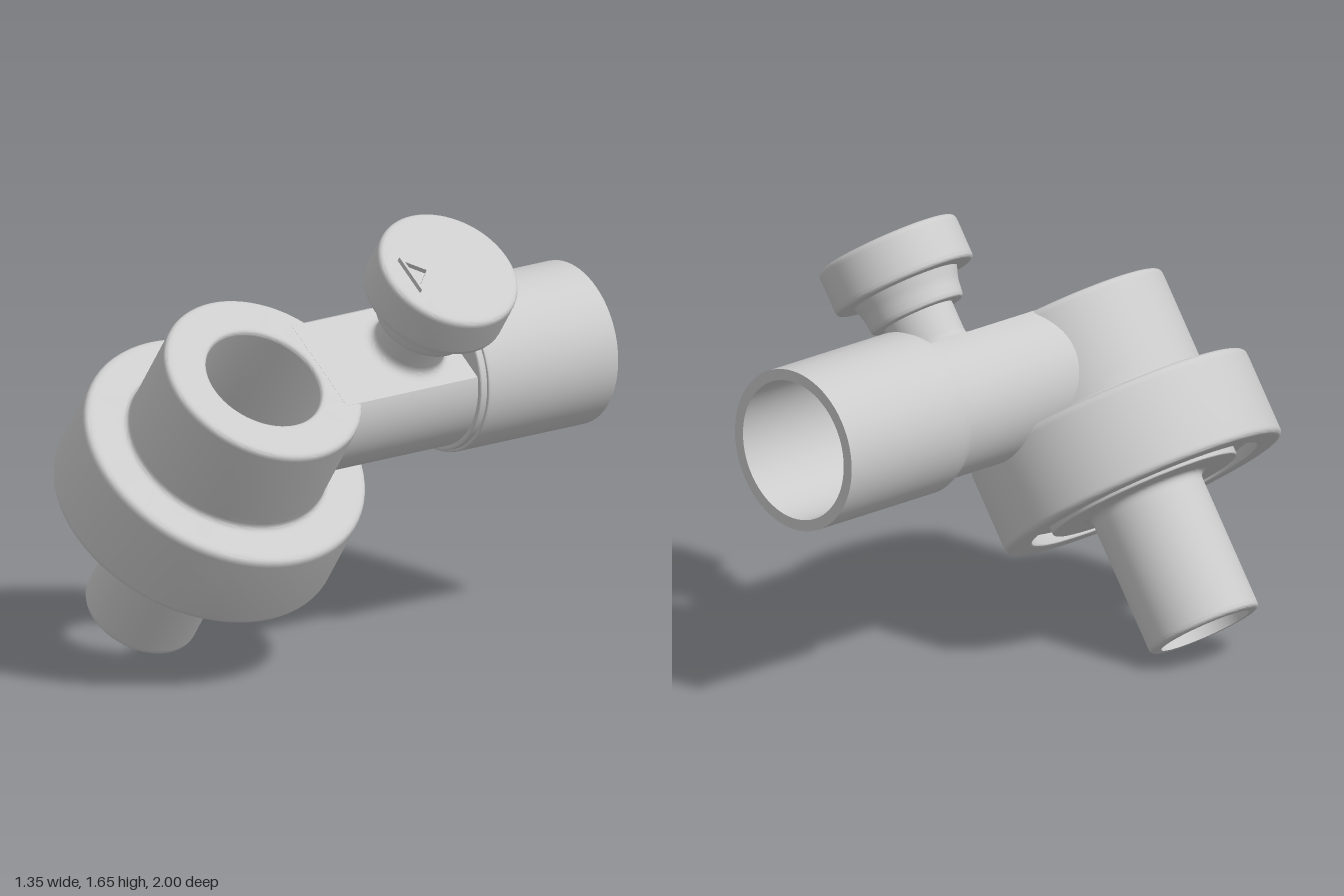
import * as THREE from 'three';
import { toCreasedNormals } from 'three/addons/utils/BufferGeometryUtils.js';

const material = new THREE.MeshStandardMaterial({ color: 0xcccccc });

// Turn [radius, height, fillet] corners into a profile with rounded corners.
function roundedProfile(corners) {
  const pts = [];
  corners.forEach(([r, h, f], i) => {
    const p = new THREE.Vector2(r, h);
    if (!f) return pts.push(p);
    const toward = (c, d) => new THREE.Vector2(c[0], c[1]).sub(p).setLength(d).add(p);
    const prev = corners[i - 1], next = corners[i + 1];
    const arc = new THREE.QuadraticBezierCurve(toward(prev, f), p, toward(next, f));
    // The extra point on each side keeps the adjoining faces evenly shaded.
    pts.push(toward(prev, f * 1.2), ...arc.getPoints(5), toward(next, f * 1.2));
  });
  return pts;
}

function lathe(name, corners) {
  const geo = new THREE.LatheGeometry(roundedProfile(corners), 72);
  const mesh = new THREE.Mesh(toCreasedNormals(geo, 0.5), material);
  mesh.name = name;
  return mesh;
}

export function createModel() {
  const model = new THREE.Group();
  model.name = 'pipeFitting';

  // Everything shares one leaning axis; the origin is the foot of the spigot.
  const fitting = new THREE.Group();
  fitting.name = 'fitting';
  fitting.position.set(-0.51, 0.125, 0.46);
  fitting.rotation.z = THREE.MathUtils.degToRad(-35);
  model.add(fitting);

  // Hollow spigot with a flared root
  fitting.add(lathe('spigot', [
    [0.172, 0], [0.213, 0, 0.02], [0.213, 0.535, 0.03], [0.36, 0.535, 0.008],
    [0.36, 0.61], [0.172, 0.61], [0.172, 0],
  ]));

  // Wide flange, open underneath around the spigot root
  fitting.add(lathe('flange', [
    [0.3, 0.58], [0.44, 0.58], [0.44, 0.537, 0.01], [0.54, 0.537, 0.025],
    [0.54, 0.877, 0.03], [0.38, 0.877, 0.025], [0.38, 0.93], [0.3, 0.93],
    [0.3, 0.865], [0.4, 0.865], [0.4, 0.6], [0.3, 0.6], [0.3, 0.58],
  ]));

  // Upper body with the open bore
  fitting.add(lathe('body', [
    [0.22, 0.865], [0.38, 0.865], [0.38, 1.264, 0.025],
    [0.22, 1.264, 0.02], [0.22, 0.865],
  ]));

  // Neck: a round bar with a flat top flush with the body
  const axisHeight = 1.078, neckRadius = 0.27;
  const flat = Math.asin((1.2645 - axisHeight) / neckRadius);
  const section = new THREE.Shape();
  section.absarc(0, axisHeight, neckRadius, Math.PI - flat, Math.PI * 2 + flat, false);
  section.closePath();
  const neckGeo = new THREE.ExtrudeGeometry(section, { depth: 0.61, bevelEnabled: false, curveSegments: 48 });
  neckGeo.translate(0, 0, -0.86);
  const neck = new THREE.Mesh(toCreasedNormals(neckGeo, 0.5), material);
  neck.name = 'neck';
  fitting.add(neck);

  // Rear pipe socket with a stepped shoulder
  const socket = lathe('pipeSocket', [
    [0, 0.845], [0.288, 0.845, 0.008], [0.288, 0.872], [0.299, 0.872, 0.008],
    [0.299, 1.46], [0.258, 1.46], [0.258, 0.89], [0, 0.89],
  ]);
  socket.rotation.x = -Math.PI / 2;
  socket.position.y = axisHeight;
  fitting.add(socket);

  // Locking knob on the flat of the neck
  const knob = new THREE.Group();
  knob.name = 'knob';
  knob.position.z = -0.65;
  fitting.add(knob);
  knob.add(lathe('knobStem', [
    [0, 1.255], [0.175, 1.255], [0.175, 1.264], [0.132, 1.266, 0.035], [0.132, 1.43], [0, 1.43],
  ]));
  knob.add(lathe('knobCollar', [
    [0, 1.405], [0.178, 1.405, 0.015], [0.185, 1.47, 0.015], [0.205, 1.53], [0, 1.53],
  ]));
  knob.add(lathe('knobCap', [
    [0, 1.518], [0.268, 1.518, 0.02], [0.268, 1.692, 0.025], [0, 1.692],
  ]));

  // Raised triangular pointer on the cap
  const triangle = (w, base, tip) => [[-w, base], [w, base], [0, tip]].map(([x, y]) => new THREE.Vector2(x, y));
  const pointer = new THREE.Shape(triangle(0.08, -0.185, -0.095));
  pointer.holes.push(new THREE.Path(triangle(0.055, -0.175, -0.112)));
  const mark = new THREE.Mesh(new THREE.ExtrudeGeometry(pointer, { depth: 0.02, bevelEnabled: false }), material);
  mark.name = 'knobPointer';
  mark.rotation.x = -Math.PI / 2;
  mark.position.y = 1.69;
  knob.add(mark);

  return model;
}
